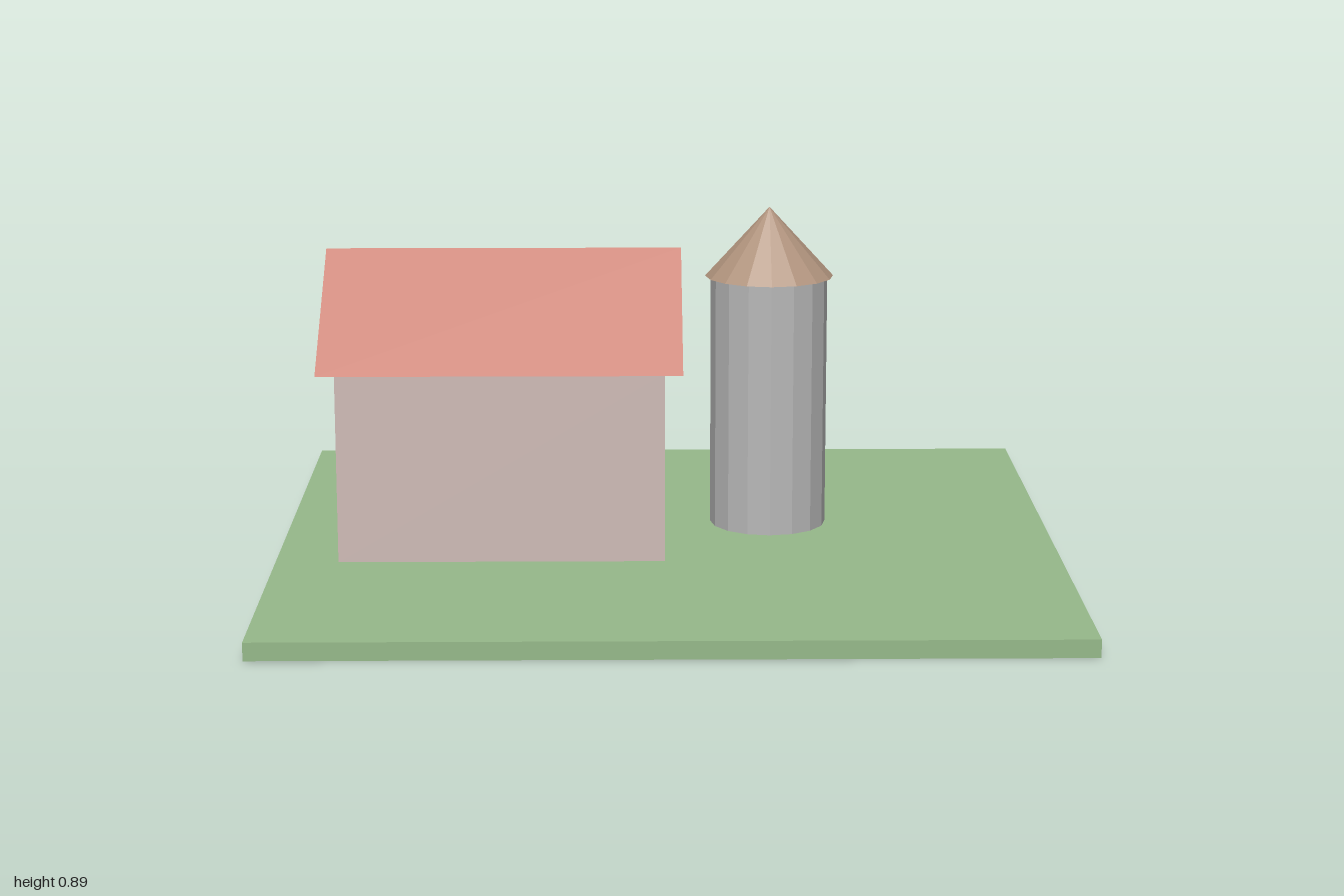
import * as THREE from 'three';

const material = (color) => new THREE.MeshStandardMaterial({ color, flatShading: true });

export function createModel() {
  const model = new THREE.Group();
  model.name = 'farmyard';

  const add = (name, geometry, color, x, y, z) => {
    const mesh = new THREE.Mesh(geometry, material(color));
    mesh.name = name;
    mesh.position.set(x, y, z);
    model.add(mesh);
    return mesh;
  };

  const groundTop = 0.045;
  const eaves = 0.535;
  const siloTop = 0.71;

  // Grass slab
  add('ground', new THREE.BoxGeometry(2, groundTop, 1.845), 0x96b98a, 0, groundTop / 2, 0);

  // Barn walls
  const barnX = -0.425, barnZ = -0.08;
  const wallHeight = eaves - groundTop;
  add('barnWalls', new THREE.BoxGeometry(0.83, wallHeight, 0.665), 0xcfbbb7,
    barnX, groundTop + wallHeight / 2, barnZ);

  // Gable roof: a solid triangular prism running along x
  const roofLength = 0.92, halfSpan = 0.368, rise = 0.26;
  const gable = new THREE.Shape();
  gable.moveTo(-halfSpan, 0);
  gable.lineTo(halfSpan, 0);
  gable.lineTo(0, rise);
  gable.closePath();
  const roof = new THREE.ExtrudeGeometry(gable, { depth: roofLength, bevelEnabled: false });
  roof.translate(0, 0, -roofLength / 2).rotateY(Math.PI / 2);
  add('barnRoof', roof, 0xcd877a, barnX, eaves, barnZ);

  // Silo with an overhanging conical cap
  const siloX = 0.267, siloZ = -0.14, sides = 16;
  const siloHeight = siloTop - groundTop, capHeight = 0.182;
  add('siloBody', new THREE.CylinderGeometry(0.153, 0.153, siloHeight, sides), 0xb8b8b8,
    siloX, groundTop + siloHeight / 2, siloZ);
  add('siloCap', new THREE.ConeGeometry(0.168, capHeight, sides), 0xb0937d,
    siloX, siloTop + capHeight / 2, siloZ);

  return model;
}
